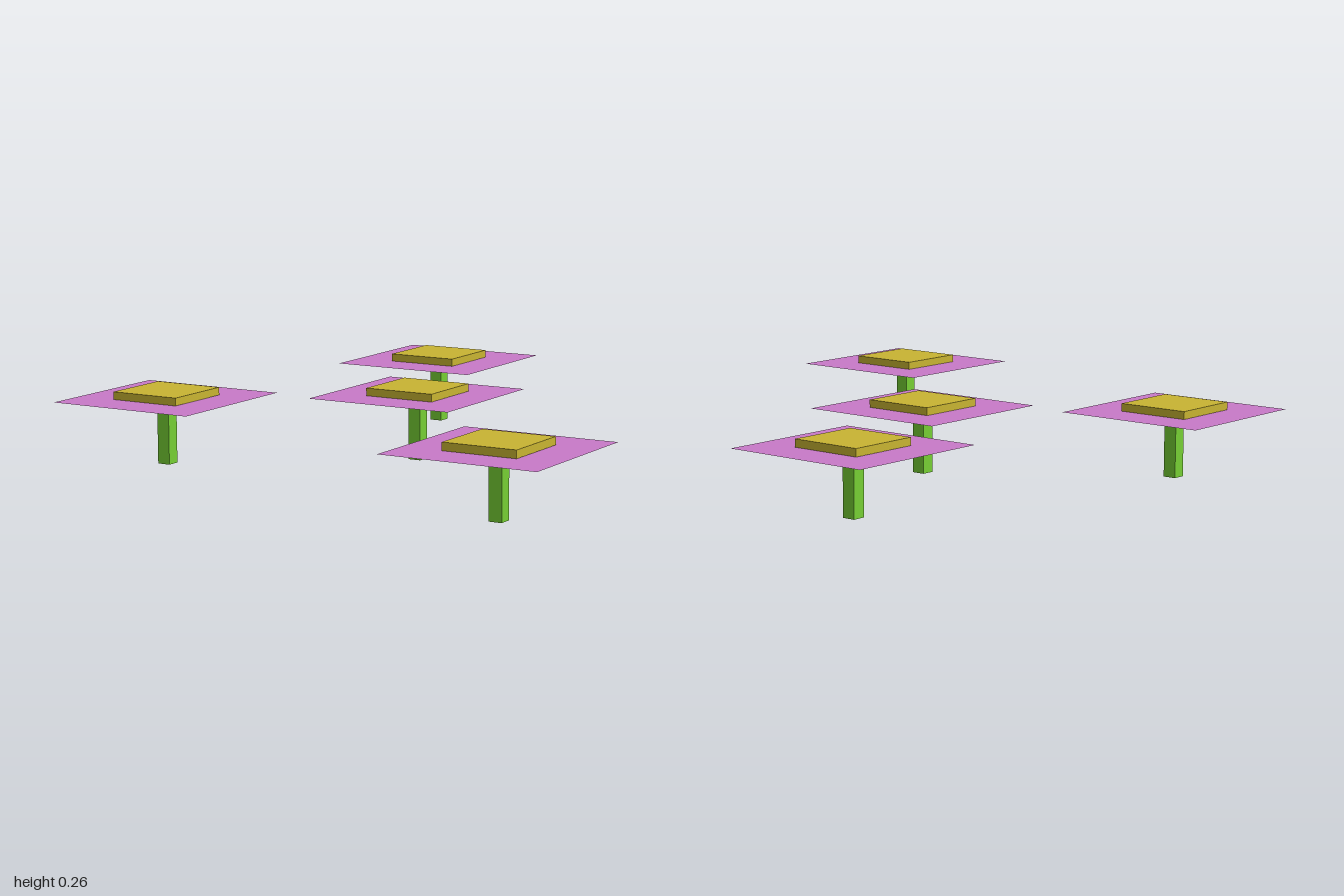
import * as THREE from 'three';

export function createModel() {
  const mat = (name, color, side = THREE.FrontSide) => {
    const m = new THREE.MeshStandardMaterial({ color, side });
    m.name = name;
    return m;
  };
  const purple = mat('purple sheet', 0xc87ac8, THREE.DoubleSide);
  const yellow = mat('yellow top', 0xc8b432);
  const green = mat('green leg', 0x76cf34);
  const grey = mat('grey underside', 0xc8c8c6);

  // square with clipped corners, facing down
  const h = 0.125, c = 0.095;
  const patch = new THREE.ShapeGeometry(new THREE.Shape([
    [-c, -h], [c, -h], [h, -c], [h, c], [c, h], [-c, h], [-h, c], [-h, -c],
  ].map(([x, y]) => new THREE.Vector2(x, y)))).rotateX(Math.PI / 2);

  const sheet = new THREE.PlaneGeometry(0.545, 0.545).rotateX(-Math.PI / 2);
  const top = new THREE.BoxGeometry(0.258, 0.027, 0.258);
  const leg = new THREE.BoxGeometry(0.047, 0.228, 0.047);

  const model = new THREE.Group();
  model.name = 'tables';

  // four identical tables
  [[-0.33, -0.7275], [-0.008, -0.013], [-0.712, 0.485], [0.71, 0.7275]].forEach(([x, z], i) => {
    const table = new THREE.Group();
    table.name = `table${i + 1}`;
    table.position.set(x, 0, z);
    const add = (name, geometry, material, y) => {
      const mesh = new THREE.Mesh(geometry, material);
      mesh.name = name;
      mesh.position.y = y;
      table.add(mesh);
    };
    add('leg', leg, green, 0.114);
    add('sheet', sheet, purple, 0.228);
    add('undersidePatch', patch, grey, 0.2265);
    add('tableTop', top, yellow, 0.2425);
    model.add(table);
  });
  return model;
}
